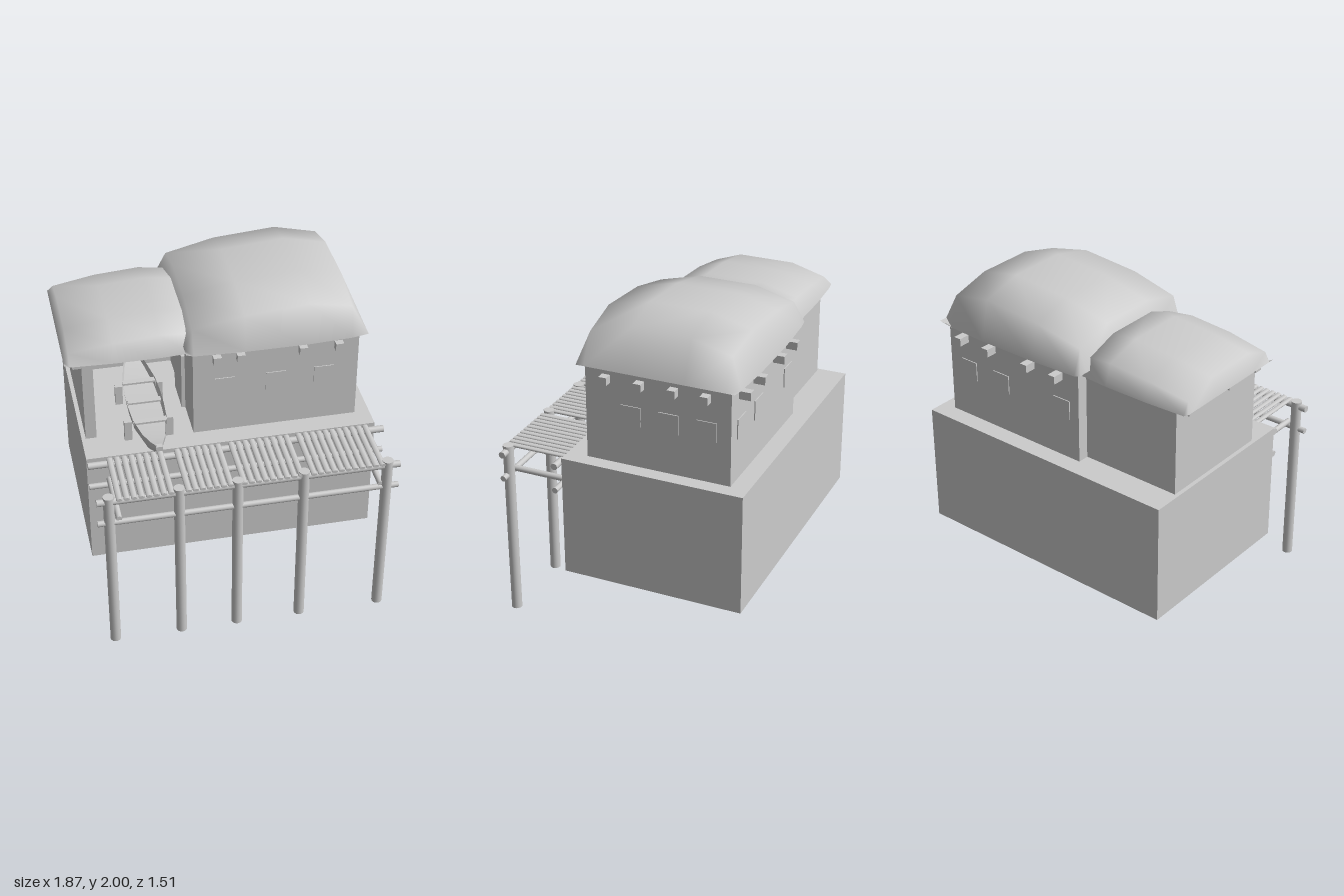
import * as THREE from 'three';
import { mergeVertices } from 'three/addons/utils/BufferGeometryUtils.js';

const material = new THREE.MeshStandardMaterial({ color: 0xcccccc });
const thin = new THREE.MeshStandardMaterial({ color: 0xcccccc, side: THREE.DoubleSide });

export function createModel() {
  const model = new THREE.Group();

  const add = (name, geometry, mat = material) => {
    const mesh = new THREE.Mesh(geometry, mat);
    mesh.name = name;
    model.add(mesh);
    return mesh;
  };

  // Box given by its limits on each axis
  const box = (name, x0, x1, y0, y1, z0, z1) => {
    const mesh = add(name, new THREE.BoxGeometry(x1 - x0, y1 - y0, z1 - z0));
    mesh.position.set((x0 + x1) / 2, (y0 + y1) / 2, (z0 + z1) / 2);
    return mesh;
  };
  const cube = (name, x, y, z, w, h, d) =>
    box(name, x - w / 2, x + w / 2, y - h / 2, y + h / 2, z - d / 2, z + d / 2);

  // Round pole between two points
  const pole = (name, a, b, r, sides = 12) => {
    const from = new THREE.Vector3(...a), to = new THREE.Vector3(...b);
    const mesh = add(name, new THREE.CylinderGeometry(r, r, from.distanceTo(to), sides));
    mesh.position.lerpVectors(from, to, 0.5);
    mesh.quaternion.setFromUnitVectors(new THREE.Vector3(0, 1, 0), to.sub(from).normalize());
    return mesh;
  };

  // Surface over a grid of points: point(i, j) gives [x, y, z]
  const surface = (name, columns, rows, point) => {
    const positions = [], index = [];
    for (let i = 0; i < columns; i++)
      for (let j = 0; j < rows; j++) positions.push(...point(i, j));
    for (let i = 0; i < columns - 1; i++)
      for (let j = 0; j < rows - 1; j++) {
        const a = i * rows + j, b = a + rows;
        index.push(a, b, a + 1, b, b + 1, a + 1);
      }
    let geometry = new THREE.BufferGeometry();
    geometry.setAttribute('position', new THREE.Float32BufferAttribute(positions, 3));
    geometry.setIndex(index);
    geometry = mergeVertices(geometry);
    geometry.computeVertexNormals();
    return add(name, geometry, thin);
  };

  // Hollow foundation, open underneath
  const foundation = new THREE.BoxGeometry(1.74, 0.755, 1.12);
  const faces = Array.from(foundation.index.array);
  foundation.setIndex([...faces.slice(0, 18), ...faces.slice(24)]);
  foundation.clearGroups();
  add('foundation', foundation, thin).position.set(0.01, 0.7375, -0.195);

  // Main house
  box('houseWalls', -0.2, 0.79, 1.115, 1.72, -0.645, 0.24);
  for (const x of [-0.01, 0.295, 0.585]) cube('frontWindow', x, 1.43, 0.24, 0.12, 0.12, 0.012);
  for (const x of [-0.075, 0.39, 0.645]) cube('backWindow', x, 1.43, -0.645, 0.12, 0.12, 0.012);
  for (const z of [-0.04, -0.27, -0.5]) cube('sideWindow', 0.79, 1.43, z, 0.012, 0.12, 0.12);
  box('door', -0.222, -0.19, 1.115, 1.49, -0.25, -0.02);

  // Beam ends under the eaves
  for (const x of [-0.06, 0.08, 0.45, 0.665]) cube('frontBeamEnd', x, 1.635, 0.25, 0.048, 0.048, 0.06);
  for (const x of [-0.06, 0.15, 0.45, 0.665]) cube('backBeamEnd', x, 1.635, -0.675, 0.048, 0.048, 0.08);
  for (const z of [0.11, -0.1, -0.305, -0.5]) cube('sideBeamEnd', 0.81, 1.635, z, 0.06, 0.048, 0.048);
  for (const z of [0.13, -0.13, -0.5]) cube('shelterBeamEnd', -0.86, 1.635, z, 0.05, 0.048, 0.048);

  // Boat shelter, open at the front
  box('shelterSideWall', -0.835, -0.77, 1.115, 1.7, -0.575, 0.17);
  box('shelterBackWall', -0.77, -0.2, 1.115, 1.7, -0.575, -0.52);

  // Pillow-shaped thatch: the border of the grid is the eave, the rest the crown
  const roof = (name, xs, zs, crownX, crownZ, peak, eave) => {
    const n = xs.length, mid = (zs[0] + zs[n - 1]) / 2;
    const spread = i => (i < 2 || i > n - 3 ? 0.97 : 1);
    surface(name, n, n, (i, j) => {
      const border = i === 0 || j === 0 || i === n - 1 || j === n - 1;
      const y = border ? eave + (i === 0 || i === n - 1 ? 0.015 : 0)
        : crownX[i - 1] + crownZ[j - 1] - peak;
      return [xs[i], y, mid + (zs[j] - mid) * spread(i)];
    });
    // Ceiling closing the thatch from below
    surface(name + 'Underside', n, 2, (i, j) => [
      xs[i], eave + (i === 0 || i === n - 1 ? 0.015 : 0), mid + (zs[j ? n - 1 : 0] - mid) * spread(i)]);
  };
  roof('houseRoof', [-0.245, -0.2, 0.1, 0.48, 0.74, 0.835], [0.29, 0.24, -0.02, -0.39, -0.64, -0.695],
    [1.905, 1.97, 2, 1.945], [1.935, 2, 2, 1.935], 2, 1.69);
  roof('shelterRoof', [-0.935, -0.905, -0.65, -0.38, -0.2, -0.17], [0.21, 0.17, 0, -0.36, -0.58, -0.62],
    [1.79, 1.83, 1.85, 1.83], [1.79, 1.85, 1.85, 1.79], 1.85, 1.66);

  // Boat hull from U-shaped sections: z, half width, rim height, keel height
  const boatX = -0.46, boatZ = 0.04;
  const bow = [[0.535, 0.014, 1.315, 1.285], [0.46, 0.035, 1.285, 1.22], [0.36, 0.068, 1.27, 1.17],
    [0.2, 0.1, 1.262, 1.135], [0.06, 0.108, 1.26, 1.13]];
  const sections = [...bow, ...bow.slice().reverse().map(([z, ...rest]) => [-z, ...rest])];
  const ribs = [[-1, 1], [-0.92, 0.5], [-0.55, 0], [0, -0.02], [0.55, 0], [0.92, 0.5], [1, 1]];
  surface('boatHull', sections.length, ribs.length, (i, j) => {
    const [z, w, top, keel] = sections[i];
    return [boatX + ribs[j][0] * w, keel + ribs[j][1] * (top - keel), boatZ + z];
  });
  surface('boatFloor', sections.length, 2, (i, j) => {
    const [z, w, top, keel] = sections[i];
    return [boatX + (j ? 0.92 : -0.92) * w, keel + 0.6 * (top - keel), boatZ + z];
  });
  for (const z of [-0.2, 0, 0.2]) cube('boatSeat', boatX, 1.245, boatZ + z, 0.2, 0.012, 0.04);
  for (const end of [-1, 1]) cube('boatStem', boatX, 1.295, boatZ + end * 0.525, 0.04, 0.03, 0.03);

  // Cradle posts holding the boat
  for (const z of [0.22, -0.14])
    for (const side of [-1, 1]) cube('cradlePost', boatX - 0.005 + side * 0.123, 1.18, z, 0.045, 0.13, 0.03);

  // Jetty: posts, long rails and cross ties
  const posts = [-0.785, -0.378, -0.035, 0.357, 0.857];
  for (const x of posts) pole('jettyPost', [x, 0, 0.725], [x, 1.115, 0.725], 0.032, 16);
  for (const z of [0.727, 0.387])
    for (const [y, r] of [[1.08, 0.021], [0.925, 0.018]])
      pole('jettyRail', [-0.855, y, z], [0.93, y, z], r);
  for (const x of [-0.73, 0.82]) pole('jettyTie', [x, 0.95, 0], [x, 0.95, 0.735], 0.018);

  // Flattened deck slats in four bays
  for (const [x0, x1, count] of [[-0.725, -0.425, 8], [-0.325, -0.08, 7], [0, 0.335, 9], [0.41, 0.82, 11]])
    for (let i = 0; i < count; i++) {
      const x = x0 + (x1 - x0) * i / (count - 1);
      const slat = add('deckSlat', new THREE.CylinderGeometry(0.018, 0.018, 0.75, 8).rotateX(Math.PI / 2).scale(1, 0.55, 1));
      slat.position.set(x, 1.1, 0.375);
    }

  return model;
}
